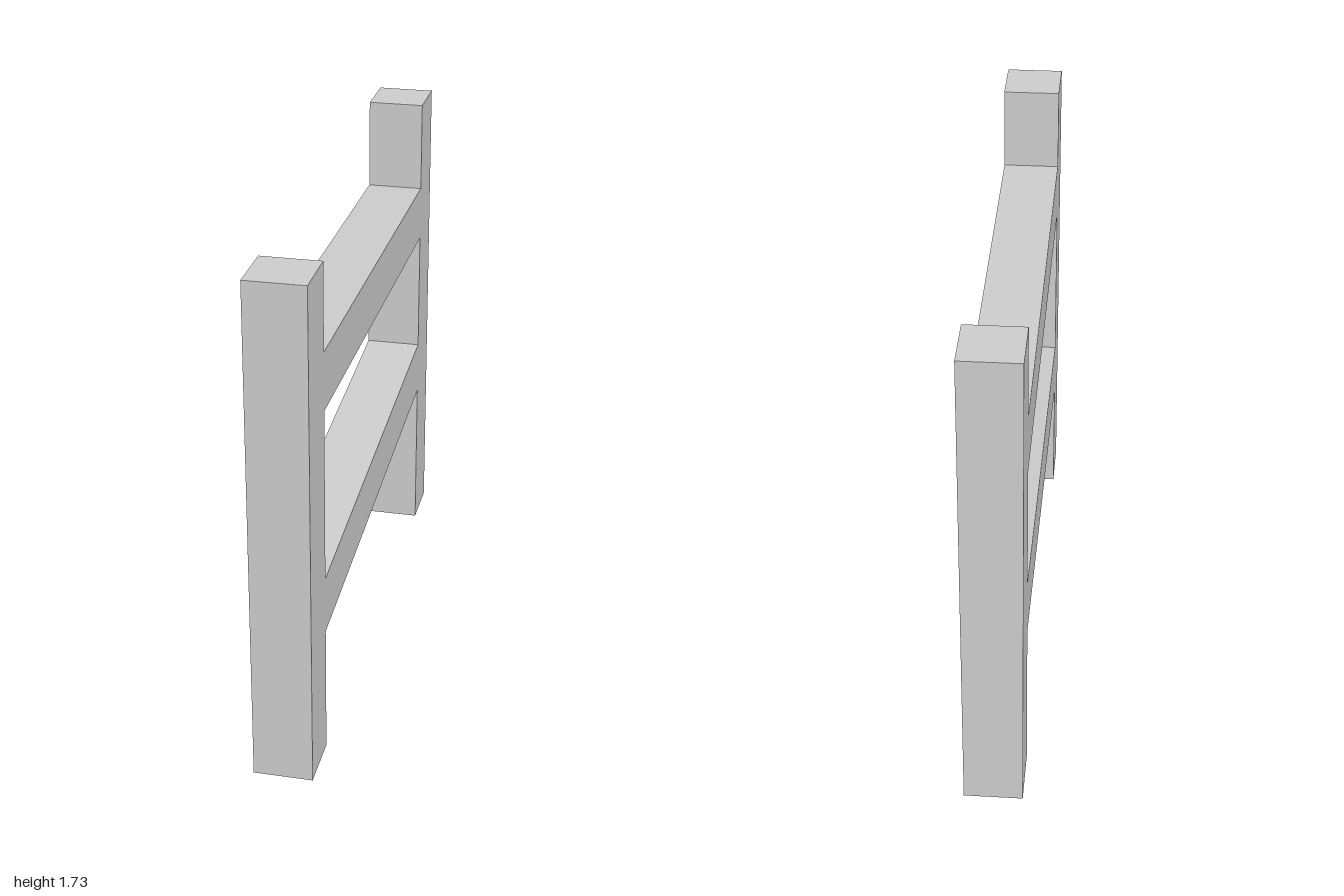
import * as THREE from 'three';

const THICK = 0.198; // square section shared by posts and rails
const HEIGHT = 1.73;
const INNER = 1 - THICK; // z of the posts' inner faces

export function createModel() {
  const group = new THREE.Group();
  const material = new THREE.MeshStandardMaterial({ color: 0xcccccc, flatShading: true });

  const add = (name, geometry) => {
    const mesh = new THREE.Mesh(geometry, material);
    mesh.name = name;
    group.add(mesh);
    return mesh;
  };

  // Upright posts
  for (const [name, side] of [['frontPost', 1], ['backPost', -1]]) {
    add(name, new THREE.BoxGeometry(THICK, HEIGHT, THICK))
      .position.set(0, HEIGHT / 2, side * (1 - THICK / 2));
  }

  // Sloping rails: boxes sheared so their ends stay flush with the posts
  const addRail = (name, frontY, backY) => {
    const geometry = new THREE.BoxGeometry(THICK, THICK, INNER * 2);
    const p = geometry.attributes.position;
    for (let i = 0; i < p.count; i++) {
      const t = (p.getZ(i) + INNER) / (INNER * 2);
      p.setY(i, p.getY(i) + THREE.MathUtils.lerp(backY, frontY, t));
    }
    geometry.computeVertexNormals();
    add(name, geometry);
  };
  addRail('upperRail', 1.338, 1.309);
  addRail('lowerRail', 0.546, 0.666);

  return group;
}
